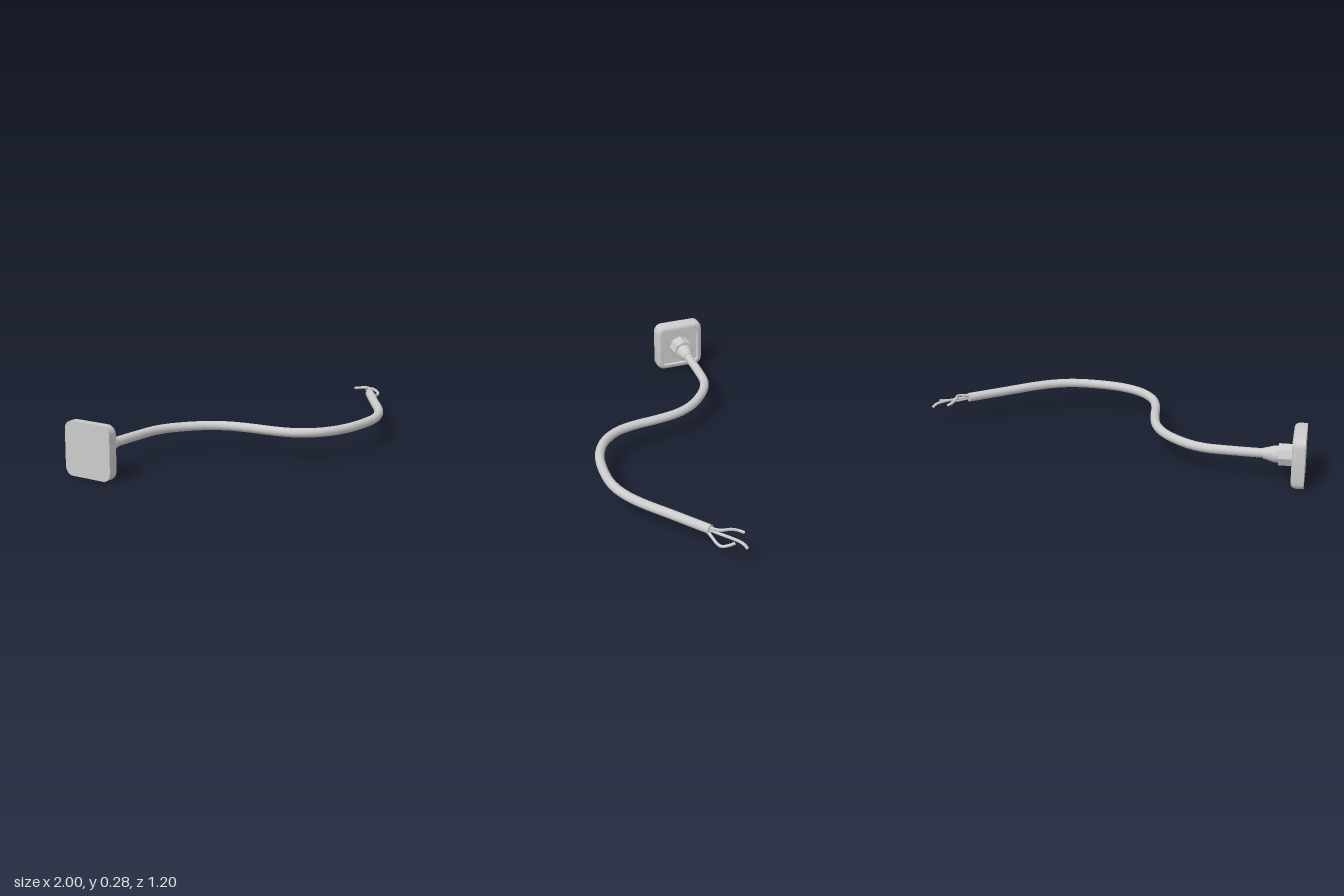
import * as THREE from 'three';
import { toCreasedNormals } from 'three/addons/utils/BufferGeometryUtils.js';

const material = new THREE.MeshStandardMaterial({ color: 0xcccccc, side: THREE.DoubleSide });
const AXIS_Y = 0.143;

function addMesh(parent, name, geometry) {
  const mesh = new THREE.Mesh(geometry, material);
  mesh.name = name;
  parent.add(mesh);
  return mesh;
}

// Tube along a smooth curve, closed with a disc at each end
function cappedTube(name, points, segments, radius, sides) {
  const group = new THREE.Group();
  group.name = name;
  const curve = new THREE.CatmullRomCurve3(points.map(p => new THREE.Vector3(...p)));
  addMesh(group, name + 'Sheath', new THREE.TubeGeometry(curve, segments, radius, sides));
  for (const [t, sign] of [[0, -1], [1, 1]]) {
    const cap = addMesh(group, name + 'End', new THREE.CircleGeometry(radius, sides));
    const end = curve.getPointAt(t);
    cap.position.copy(end);
    cap.lookAt(end.clone().addScaledVector(curve.getTangentAt(t), sign));
  }
  return group;
}

// Rounded-square outline, counter-clockwise
function outline(half, radius, z, steps = 5) {
  const points = [];
  for (let corner = 0; corner < 4; corner++) {
    const mid = Math.PI / 4 + corner * Math.PI / 2;
    const cx = Math.sign(Math.cos(mid)) * (half - radius);
    const cy = Math.sign(Math.sin(mid)) * (half - radius);
    for (let i = 0; i <= steps; i++) {
      const a = (corner + i / steps) * Math.PI / 2;
      points.push([cx + radius * Math.cos(a), cy + radius * Math.sin(a), z]);
    }
  }
  return points;
}

// Skin over outlines of equal length, with both ends closed
function loft(rings) {
  const count = rings[0].length;
  const index = [];
  for (let r = 0; r < rings.length - 1; r++) {
    for (let i = 0; i < count; i++) {
      const a = r * count + i, b = r * count + (i + 1) % count;
      index.push(a, b, b + count, a, b + count, a + count);
    }
  }
  const last = (rings.length - 1) * count;
  for (let i = 1; i < count - 1; i++) {
    index.push(0, i + 1, i, last, last + i, last + i + 1);
  }
  const geometry = new THREE.BufferGeometry();
  geometry.setAttribute('position', new THREE.Float32BufferAttribute(rings.flat(2), 3));
  geometry.setIndex(index);
  return toCreasedNormals(geometry, 0.7);
}

export function createModel() {
  const model = new THREE.Group();
  model.name = 'cableWithMountingHead';

  // Square head, turned so that its recessed face looks along the cable
  const head = new THREE.Group();
  head.name = 'head';
  head.position.set(-0.91, AXIS_Y, 0.485);
  head.rotation.y = Math.atan2(0.76, -0.65);
  model.add(head);

  const rings = [
    [0.142, 0.045, 0], [0.142, 0.045, 0.04], [0.139, 0.043, 0.054],
    [0.132, 0.038, 0.064], [0.121, 0.03, 0.068], [0.112, 0.022, 0.068],
    [0.107, 0.018, 0.055],
  ];
  addMesh(head, 'housing', loft(rings.map(r => outline(...r))));

  // Faceted gland nut
  const nut = new THREE.CylinderGeometry(0.062, 0.062, 0.085, 8);
  nut.rotateX(Math.PI / 2).translate(0, 0, 0.0975);
  addMesh(head, 'glandNut', toCreasedNormals(nut, 0.5));

  // Tapered strain relief
  const profile = [[0, 0.14], [0.046, 0.14], [0.044, 0.165], [0.032, 0.205], [0.03, 0.22], [0, 0.22]];
  const relief = new THREE.LatheGeometry(profile.map(p => new THREE.Vector2(...p)), 16);
  relief.rotateX(Math.PI / 2);
  addMesh(head, 'strainRelief', toCreasedNormals(relief, 0.6));

  // Main cable, lying in a level wave
  const path = [
    [-0.79, 0.382], [-0.6, 0.23], [-0.49, 0.153], [-0.39, 0.122], [-0.22, 0.122],
    [-0.1, 0.165], [0.01, 0.25], [0.1, 0.335], [0.19, 0.397], [0.27, 0.42],
    [0.35, 0.422], [0.47, 0.388], [0.6, 0.307], [0.7, 0.218], [0.76, 0.128],
    [0.803, 0.02], [0.85, -0.17], [0.905, -0.388],
  ];
  model.add(cappedTube('cable', path.map(([x, z]) => [x, AXIS_Y, z]), 56, 0.025, 14));

  // Three loose wires at the free end
  const wires = {
    middleWire: [[0.905, 0.143, -0.37], [0.922, 0.143, -0.43], [0.938, 0.143, -0.5],
      [0.95, 0.14, -0.555], [0.957, 0.131, -0.582], [0.961, 0.117, -0.597]],
    rightWire: [[0.897, 0.15, -0.37], [0.915, 0.157, -0.41], [0.921, 0.163, -0.45],
      [0.892, 0.159, -0.487], [0.876, 0.15, -0.52], [0.875, 0.144, -0.552]],
    leftWire: [[0.91, 0.135, -0.37], [0.935, 0.126, -0.403], [0.968, 0.117, -0.442],
      [0.991, 0.121, -0.475], [0.987, 0.132, -0.51], [0.97, 0.141, -0.537]],
  };
  for (const [name, points] of Object.entries(wires)) {
    model.add(cappedTube(name, points, 18, 0.008, 8));
  }
  return model;
}
